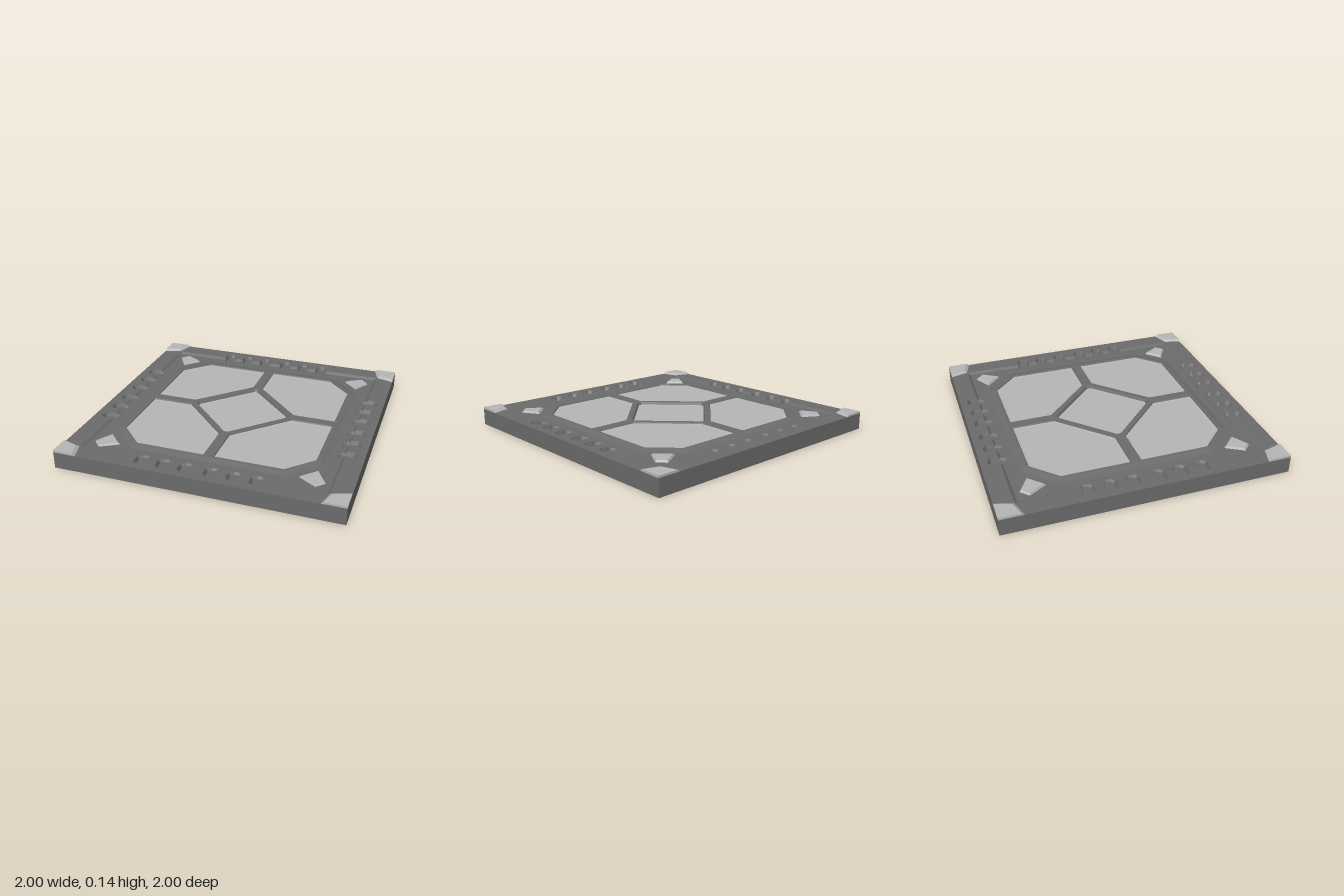
import * as THREE from 'three';

const mat = (name, color) => {
  const m = new THREE.MeshStandardMaterial({ color, side: THREE.DoubleSide, flatShading: true });
  m.name = name;
  return m;
};

// Heights of the levels of the tile
const RIM = 0.12, FLOOR = 0.105, DECK = 0.118, PIT = 0.092;
const STEP_OUT = 0.87, STEP_IN = 0.85;

const at = (pts, y) => pts.map(([x, z]) => [x, y, z]);
const turn = (pts, k) => pts.map(([x, z]) => [[x, z], [z, -x], [-x, -z], [-z, x]][k]);
const inset = (pts, f) => {
  const cx = pts.reduce((s, p) => s + p[0], 0) / pts.length;
  const cz = pts.reduce((s, p) => s + p[1], 0) / pts.length;
  return pts.map(([x, z]) => [cx + (x - cx) * f, cz + (z - cz) * f]);
};

// Level polygon facing up, with optional holes
function flat(pts, y, holes = []) {
  const v = (list) => list.map(([x, z]) => new THREE.Vector2(x, -z));
  const shape = new THREE.Shape(v(pts));
  holes.forEach((h) => shape.holes.push(new THREE.Path(v(h))));
  return new THREE.ShapeGeometry(shape).rotateX(-Math.PI / 2).translate(0, y, 0);
}

// Band of quads between two loops of [x, y, z], turned to face up
function band(a, b, closed = true) {
  const pos = [];
  const n = closed ? a.length : a.length - 1;
  for (let i = 0; i < n; i++) {
    const j = (i + 1) % a.length;
    const q = [a[i], a[j], b[j], b[i]];
    const p = q.map((c) => new THREE.Vector3(...c));
    const up = p[2].clone().sub(p[0]).cross(p[3].clone().sub(p[1])).y;
    if (up < -1e-7) q.reverse();
    pos.push(...q[0], ...q[1], ...q[2], ...q[0], ...q[2], ...q[3]);
  }
  const g = new THREE.BufferGeometry();
  g.setAttribute('position', new THREE.Float32BufferAttribute(pos, 3));
  g.computeVertexNormals();
  return g;
}

export function createModel() {
  const dark = mat('dark grey', 0x6b6b6b);
  const light = mat('light grey', 0xb6b6b6);
  const root = new THREE.Group();
  root.name = 'floorTile';
  const add = (parent, name, geo, m) => {
    const mesh = new THREE.Mesh(geo, m);
    mesh.name = name;
    parent.add(mesh);
  };

  // Outer walls, open underneath
  const square = [[1, 1], [1, -1], [-1, -1], [-1, 1]];
  add(root, 'outerWall', band(at(square, RIM), at(square, 0)), dark);

  // Corner wedge outline, mirrored across the diagonal
  const wedge = [[0.635, 0.74], [0.76, 0.815], [0.815, 0.76], [0.74, 0.635]];
  const panel = [[0.035, 0.39], [0.035, 0.7], [0.525, 0.7], [0.7, 0.525], [0.7, 0.035], [0.39, 0.035]];
  const slots = [-0.4, -0.245, -0.09, 0.09, 0.245, 0.4];
  const W = 0.045, C = 0.02;

  for (let k = 0; k < 4; k++) {
    const side = new THREE.Group();
    side.name = 'side' + (k + 1);
    side.rotation.y = (k * Math.PI) / 2;
    root.add(side);

    // Rim, floor and step, notched around the slots
    const rim = [[-1, 1], [-STEP_OUT, STEP_OUT]];
    const floor = [[-STEP_IN, STEP_IN]];
    let from = null;
    const step = (a, b, endA, endB) => add(side, 'rimStep', band(
      [[endA ? -STEP_OUT : a, RIM, STEP_OUT], [endB ? STEP_OUT : b, RIM, STEP_OUT]],
      [[endA ? -STEP_IN : a, FLOOR, STEP_IN], [endB ? STEP_IN : b, FLOOR, STEP_IN]], false), dark);
    for (const c of slots) {
      const outer = [[c - W, STEP_OUT], [c - W, 0.922], [c - C, 0.947], [c + C, 0.947], [c + W, 0.922], [c + W, STEP_OUT]];
      const inner = [[c - W, STEP_IN], [c - W, 0.84], [c - C, 0.815], [c + C, 0.815], [c + W, 0.84], [c + W, STEP_IN]];
      rim.push(...outer);
      floor.push(...inner);
      step(from, c - W, from === null, false);
      from = c + W;
      // Recessed slot
      const back = inner.slice().reverse();
      const base = [...outer, ...back].map(([x, z]) => [c + (x - c) * 0.7, 0.881 + (z - 0.881) * 0.8]);
      add(side, 'slotWall', band([...at(outer, RIM), ...at(back, FLOOR)], at(base, PIT)), dark);
      add(side, 'slotBase', flat(base, PIT), dark);
    }
    step(from, 0, false, true);
    rim.push([STEP_OUT, STEP_OUT], [1, 1]);
    const mitre = [[STEP_IN, STEP_IN], [0.7875, 0.7875], [0.76, 0.815], [0.635, 0.74], [0.6875, 0.6875], [0.655, 0.655], [0.55, 0.76]];
    floor.push(...mitre, ...mitre.slice(1).reverse().map(([x, z]) => [-x, z]));
    add(side, 'rim', flat(rim, RIM), dark);
    add(side, 'floor', flat(floor, FLOOR), dark);

    // Raised wedge by the corner
    const wedgeTop = inset(wedge, 0.85);
    add(side, 'wedgeSides', band(at(wedge, FLOOR), at(wedgeTop, 0.119)), light);
    add(side, 'wedgeTop', flat(wedgeTop, 0.119), light);

    // Corner cap
    const capBase = [[1, 1], [1, 0.835], [0.873, 0.873], [0.835, 1]];
    const capTop = [[1, 1], [1, 0.855], [0.89, 0.89], [0.855, 1]];
    add(side, 'cornerCapSides', band(at(capTop, 0.135), at(capBase, RIM)), light);
    add(side, 'cornerCapTop', flat(capTop, 0.135), light);

    // Large inset panel
    const lip = inset(panel, 0.985), face = inset(panel, 0.93);
    add(side, 'panelRecess', band(at(panel, DECK), at(lip, 0.11)), dark);
    add(side, 'panelBevel', band(at(lip, 0.11), at(face, 0.108)), light);
    add(side, 'panelFace', flat(face, 0.108), light);
  }

  // Raised octagonal deck framing the panels
  const octagon = [0, 1, 2, 3].flatMap((k) => turn([[0.55, 0.76], [0.76, 0.55]], k));
  const diamond = [0, 1, 2, 3].flatMap((k) => turn([[0.015, 0.355], [0.355, 0.015]], k));
  // Order the corners round the centre
  for (const loop of [octagon, diamond]) loop.sort((a, b) => Math.atan2(a[1], a[0]) - Math.atan2(b[1], b[0]));
  const deck = inset(octagon, 0.945);
  add(root, 'deckSlope', band(at(octagon, FLOOR), at(deck, DECK)), dark);
  add(root, 'deck', flat(deck, DECK, [...[0, 1, 2, 3].map((k) => turn(panel, k)), diamond]), dark);

  // Central diamond, set deeper
  const dLip = inset(diamond, 0.965), dFace = inset(diamond, 0.92);
  add(root, 'diamondRecess', band(at(diamond, DECK), at(dLip, 0.1)), dark);
  add(root, 'diamondBevel', band(at(dLip, 0.1), at(dFace, 0.098)), light);
  add(root, 'diamondFace', flat(dFace, 0.098), light);

  return root;
}
